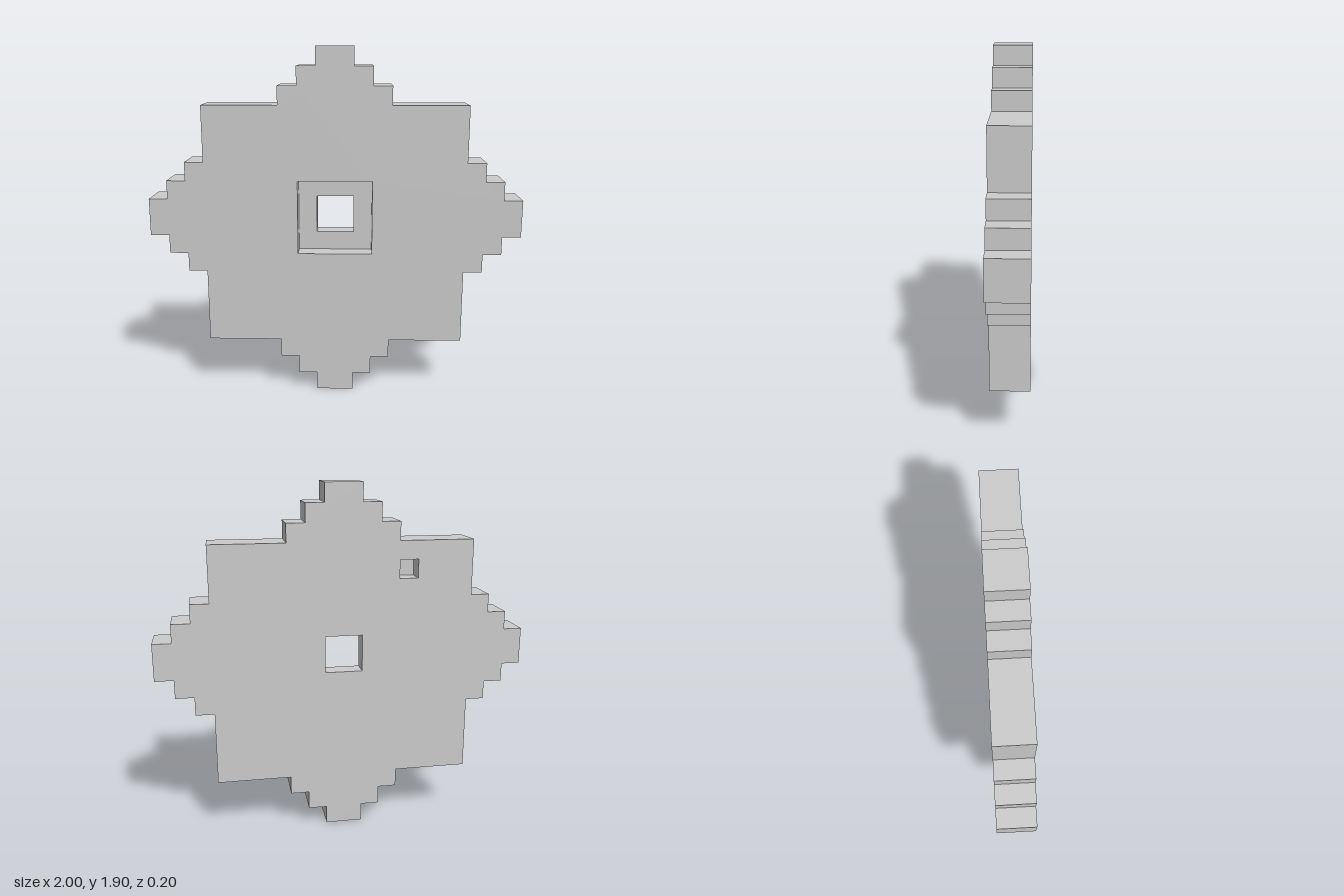
import * as THREE from 'three';

const FRONT = 0.1, MID = 0, BACK = -0.1;
const material = new THREE.MeshStandardMaterial({ color: 0xcccccc, flatShading: true });

// Counter-clockwise square, centred on (cx, cy)
function square(cx, cy, half) {
  return [[-1, -1], [1, -1], [1, 1], [-1, 1]].map(([x, y]) => new THREE.Vector2(cx + x * half, cy + y * half));
}

// Counter-clockwise stepped outline: right half from bottom to top, then mirrored
function steppedOutline() {
  const right = [
    [0.1, 0], [0.1, 0.1], [0.2, 0.1], [0.2, 0.2], [0.3, 0.2], [0.3, 0.3],
    [0.7, 0.3], [0.7, 0.7], [0.8, 0.7], [0.8, 0.8], [0.9, 0.8], [0.9, 0.9], [1, 0.9],
    [1, 1.1], [0.9, 1.1], [0.9, 1.2], [0.8, 1.2], [0.8, 1.3], [0.7, 1.3], [0.7, 1.6],
    [0.3, 1.6], [0.3, 1.7], [0.2, 1.7], [0.2, 1.8], [0.1, 1.8], [0.1, 1.9],
  ];
  const left = right.map(([x, y]) => [-x, y]).reverse();
  return [...right, ...left].map(([x, y]) => new THREE.Vector2(x, y));
}

// Flat face in the xy plane, facing front or back
function face(name, outline, holes, z, facesBack = false) {
  const shape = new THREE.Shape(outline);
  shape.holes = holes.map((h) => new THREE.Path(h));
  const geometry = new THREE.ShapeGeometry(shape);
  if (facesBack) {
    // All shapes are left-right mirrored before the half turn restores them
    const index = geometry.index.array;
    for (let i = 0; i < index.length; i += 3) [index[i], index[i + 1]] = [index[i + 1], index[i]];
    geometry.computeVertexNormals();
  }
  geometry.translate(0, 0, z);
  return named(name, geometry);
}

// Walls along a loop from z0 to z1; inward walls line a hole
function walls(name, loop, z0, z1, inward = false) {
  const points = inward ? [...loop].reverse() : loop;
  const positions = [];
  points.forEach((a, i) => {
    const b = points[(i + 1) % points.length];
    positions.push(a.x, a.y, z0, b.x, b.y, z0, b.x, b.y, z1);
    positions.push(a.x, a.y, z0, b.x, b.y, z1, a.x, a.y, z1);
  });
  const geometry = new THREE.BufferGeometry();
  geometry.setAttribute('position', new THREE.Float32BufferAttribute(positions, 3));
  geometry.computeVertexNormals();
  return named(name, geometry);
}

function named(name, geometry) {
  const mesh = new THREE.Mesh(geometry, material);
  mesh.name = name;
  return mesh;
}

export function createModel() {
  const model = new THREE.Group();
  model.name = 'steppedPlate';

  const outline = steppedOutline();
  const recess = square(0, 1, 0.2);
  const hole = square(0, 1, 0.1);
  const pocket = square(-0.35, 1.45, 0.05);

  // Plate body
  model.add(
    face('frontFace', outline, [recess], FRONT),
    face('backFace', outline, [hole, pocket], BACK, true),
    walls('steppedRim', outline, BACK, FRONT),
  );

  // Front recess with a smaller square hole through its floor
  model.add(
    walls('recessWalls', recess, MID, FRONT, true),
    face('recessFloor', recess, [hole], MID),
    walls('centreHoleWalls', hole, BACK, MID, true),
  );

  // Blind pocket in the back
  model.add(
    walls('pocketWalls', pocket, BACK, MID, true),
    face('pocketFloor', pocket, [], MID, true),
  );
  return model;
}
